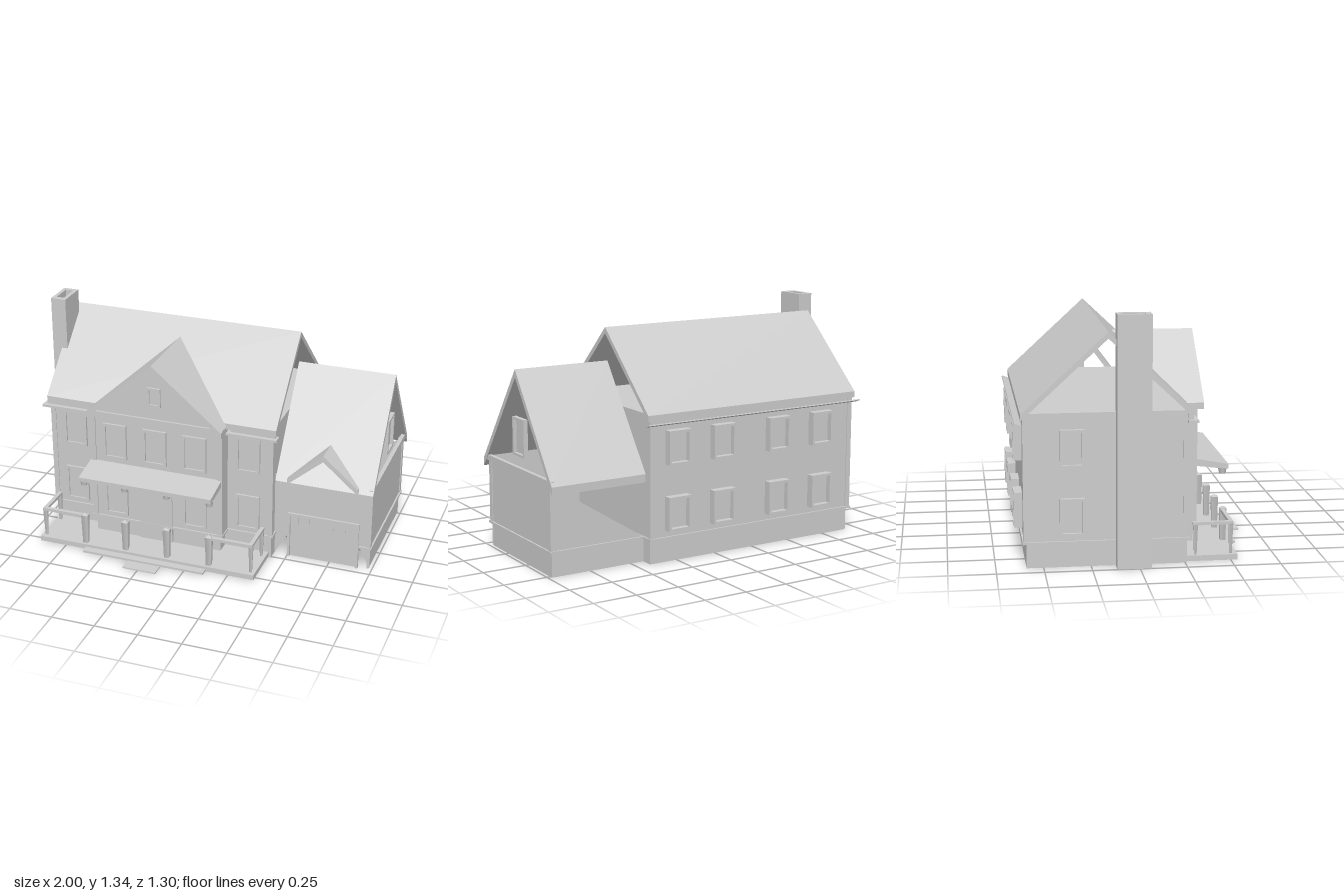
import * as THREE from 'three';

const plaster = new THREE.MeshStandardMaterial({ color: 0xcccccc, side: THREE.DoubleSide });
plaster.name = 'pale grey';

export function createModel() {
  const house = new THREE.Group();
  house.name = 'house';

  const add = (name, geo, parent = house) => {
    const m = new THREE.Mesh(geo, plaster);
    m.name = name;
    parent.add(m);
    return m;
  };
  // Box given by its minimum and maximum on each axis
  const box = (name, x0, x1, y0, y1, z0, z1, parent = house) => {
    const m = add(name, new THREE.BoxGeometry(x1 - x0, y1 - y0, z1 - z0), parent);
    m.position.set((x0 + x1) / 2, (y0 + y1) / 2, (z0 + z1) / 2);
    return m;
  };
  const shapeOf = (pts) => new THREE.Shape(pts.map((p) => new THREE.Vector2(...p)));
  const panel = (name, pts, z) => add(name, new THREE.ShapeGeometry(shapeOf(pts))).position.z = z;
  // Upside-down V section of a gable roof
  const chevron = (left, mid, right, eave, ridge, t) => shapeOf([
    [left, eave], [mid, ridge], [right, eave], [right, eave - t], [mid, ridge - t], [left, eave - t]]);

  // Roof with its ridge along x
  const longRoof = (name, x0, x1, front, mid, back, eave, ridge, t) => {
    const g = new THREE.ExtrudeGeometry(chevron(-front, -mid, -back, eave, ridge, t), { depth: x1 - x0, bevelEnabled: false });
    g.rotateY(Math.PI / 2).translate(x0, 0, 0);
    add(name, g);
  };
  // Roof with its ridge along z, its back edge cut to the slope behind it
  const crossRoof = (name, x, half, eave, ridge, t, front, slopeZ) => {
    const g = new THREE.ExtrudeGeometry(chevron(x - half, x, x + half, eave, ridge, t), { depth: 1, bevelEnabled: false });
    const p = g.attributes.position;
    for (let i = 0; i < p.count; i++) p.setZ(i, p.getZ(i) > 0.5 ? front : Math.min(front - 0.01, slopeZ(p.getY(i))));
    g.computeVertexNormals();
    add(name, g);
  };

  // Framed window facing +z, then turned to its wall
  const windowAt = (name, x, y, z, w, h, depth, turn = 0) => {
    const g = new THREE.Group();
    g.name = name;
    const a = w / 2, b = h / 2, f = 0.014;
    box('pane', -a + f, a - f, -b + f, b - f, 0, depth * 0.3, g);
    for (const s of [-1, 1]) {
      box('jamb', s * (a - f / 2) - f / 2, s * (a - f / 2) + f / 2, -b, b, 0, depth, g);
      box('rail', -a + f, a - f, s * (b - f / 2) - f / 2, s * (b - f / 2) + f / 2, 0, depth, g);
    }
    g.position.set(x, y, z);
    g.rotation.y = turn;
    house.add(g);
  };

  // Main body and projecting centre bay
  box('mainFoundation', -0.92, 0.42, 0, 0.14, -0.59, 0.26);
  box('mainWalls', -0.93, 0.42, 0.14, 0.825, -0.6, 0.26);
  box('bayFoundation', -0.63, 0.14, 0, 0.14, 0.25, 0.34);
  box('bayWalls', -0.64, 0.15, 0.14, 0.8, 0.25, 0.35);
  box('mainLedge', -0.94, 0.43, 0.132, 0.144, -0.61, 0.27);
  box('bayLedge', -0.65, 0.16, 0.132, 0.144, 0.26, 0.36);
  panel('bayGableWall', [[-0.64, 0.79], [0.15, 0.79], [-0.25, 1.13]], 0.35);
  box('bayFrieze', -0.65, 0.16, 0.78, 0.815, 0.34, 0.362);
  for (const x of [-0.935, 0.395]) {
    for (const z of [-0.605, 0.235]) box('cornerBoard', x, x + 0.03, 0.14, 0.8, z, z + 0.03);
  }
  for (const x of [-0.645, 0.125]) box('bayCornerBoard', x, x + 0.03, 0.14, 0.79, 0.25, 0.357);
  box('gableSill', -0.94, 0.43, 0.8, 0.828, -0.605, 0.265);

  // Roofs
  longRoof('mainRoof', -0.945, 0.445, 0.285, -0.16, -0.615, 0.825, 1.245, 0.035);
  crossRoof('bayRoof', -0.25, 0.41, 0.81, 1.155, 0.035, 0.39, (y) => -0.16 + (1.245 - y) * 1.05);
  for (const [x0, x1] of [[-0.965, -0.65], [0.16, 0.455]]) {
    box('frontGutter', x0, x1, 0.765, 0.778, 0.255, 0.31);
    box('frontFascia', x0 + 0.02, x1 - 0.015, 0.778, 0.815, 0.255, 0.285);
  }
  const gutter = box('backGutter', -0.96, 0.46, 0.77, 0.777, -0.65, -0.61);
  gutter.rotation.x = 0.35;

  // Hollow chimney
  const stack = shapeOf([[-1, -0.06], [-0.91, -0.06], [-0.91, 0.12], [-1, 0.12]]);
  stack.holes.push(new THREE.Path([[-0.978, -0.03], [-0.978, 0.095], [-0.932, 0.095], [-0.932, -0.03]].map((p) => new THREE.Vector2(...p))));
  add('chimney', new THREE.ExtrudeGeometry(stack, { depth: 1.34, bevelEnabled: false }).rotateX(-Math.PI / 2));

  // Windows and front door
  const cols = [-0.78, -0.493, -0.25, -0.01, 0.278];
  cols.forEach((x, i) => {
    const z = i === 0 || i === 4 ? 0.26 : 0.35;
    windowAt('upperWindow', x, 0.638, z, 0.14, 0.215, 0.014);
    if (i !== 2) windowAt('lowerWindow', x, 0.275, z, 0.14, 0.215, 0.014);
  });
  windowAt('gableWindow', -0.25, 0.95, 0.35, 0.08, 0.115, 0.012);
  box('frontDoor', -0.35, -0.15, 0.04, 0.4, 0.34, 0.358);
  for (const y of [0.275, 0.64]) {
    for (const x of [0.26, -0.03, -0.4, -0.7]) windowAt('backWindow', x, y, -0.6, 0.14, 0.19, 0.045, Math.PI);
    windowAt('sideWindow', -0.93, y, -0.35, 0.13, 0.2, 0.025, -Math.PI / 2);
  }

  // Porch deck, steps and canopy
  box('deck', -0.91, 0.405, 0.004, 0.034, 0.25, 0.535);
  box('upperStep', -0.62, 0.12, 0.006, 0.018, 0.5, 0.58);
  box('lowerStep', -0.34, -0.14, 0, 0.007, 0.5, 0.655);
  const canopy = shapeOf([[-0.34, 0.46], [-0.34, 0.5], [-0.53, 0.465], [-0.53, 0.44], [-0.5, 0.44]]);
  add('porchCanopy', new THREE.ExtrudeGeometry(canopy, { depth: 0.8, bevelEnabled: false }).rotateY(Math.PI / 2).translate(-0.65, 0, 0));

  // Porch posts with cap stubs under the canopy
  for (const x of [-0.63, -0.38, -0.125, 0.13]) {
    const post = add('porchPost', new THREE.CylinderGeometry(0.026, 0.02, 0.18, 4).rotateY(Math.PI / 4));
    post.position.set(x, 0.124, 0.505);
    add('postCap', new THREE.ConeGeometry(0.022, 0.012, 4).rotateY(Math.PI / 4)).position.set(x, 0.22, 0.505);
    add('canopyStub', new THREE.CylinderGeometry(0.025, 0.018, 0.034, 8)).position.set(x, 0.427, 0.5);
  }

  // Railings at both ends of the porch
  for (const [outer, inner] of [[-0.885, -0.63], [0.378, 0.13]]) {
    box('frontRail', Math.min(outer, inner), Math.max(outer, inner), 0.195, 0.212, 0.49, 0.512);
    box('sideRail', outer - 0.011, outer + 0.011, 0.195, 0.212, 0.295, 0.512);
    for (const z of [0.31, 0.5]) {
      add('railPost', new THREE.CylinderGeometry(0.016, 0.009, 0.165, 4).rotateY(Math.PI / 4)).position.set(outer, 0.116, z);
    }
  }

  // Garage wing: thin walls, open underneath and in the gable
  const front = shapeOf([[0.42, 0.14], [0.42, 0.52], [0.985, 0.52], [0.985, 0.14], [0.91, 0.14], [0.91, 0.27], [0.51, 0.27], [0.51, 0.14]]);
  add('garageFrontWall', new THREE.ShapeGeometry(front)).position.z = 0.2;
  panel('garageFrontFootLeft', [[0.42, 0], [0.5, 0.14], [0.42, 0.14]], 0.19);
  panel('garageFrontFootRight', [[0.985, 0], [0.985, 0.14], [0.915, 0.14]], 0.19);
  panel('garageBackWall', [[0.42, 0.14], [0.985, 0.14], [0.985, 0.5]], -0.525);
  box('garageSideWall', 0.975, 0.985, 0.14, 0.51, -0.525, 0.2);
  box('garageSideFoundation', 0.968, 0.98, 0, 0.14, -0.52, 0.19);
  box('garageBackFoundation', 0.42, 0.98, 0, 0.14, -0.52, -0.51);
  box('garageSideLedge', 0.975, 0.995, 0.132, 0.144, -0.535, 0.21);
  box('garageBackLedge', 0.42, 0.995, 0.132, 0.144, -0.535, -0.515);
  box('garageFrontLedge', 0.92, 0.995, 0.132, 0.144, 0.195, 0.21);
  box('garageFrieze', 0.975, 0.997, 0.495, 0.525, -0.555, 0.235);
  for (const z of [-0.53, 0.175]) box('garageCornerBoard', 0.96, 0.99, 0.14, 0.5, z, z + 0.03);
  longRoof('garageRoof', 0.435, 1, 0.25, -0.165, -0.57, 0.5, 1.06, 0.045);
  crossRoof('garageDormerRoof', 0.71, 0.205, 0.525, 0.7, 0.035, 0.255, (y) => -0.165 + (1.06 - y) * 0.74);
  windowAt('garageGableWindow', 0.965, 0.69, -0.168, 0.135, 0.21, 0.025, Math.PI / 2);

  // Garage door with frame and panel grooves
  box('garageDoor', 0.51, 0.91, 0, 0.27, 0.185, 0.195);
  box('doorHeader', 0.5, 0.92, 0.268, 0.284, 0.19, 0.212);
  for (const x of [0.5, 0.905]) box('doorJamb', x, x + 0.014, 0, 0.27, 0.19, 0.21);
  for (const x of [0.555, 0.62, 0.69, 0.76, 0.83]) box('doorBatten', x, x + 0.008, 0.21, 0.268, 0.193, 0.2);

  return house;
}
